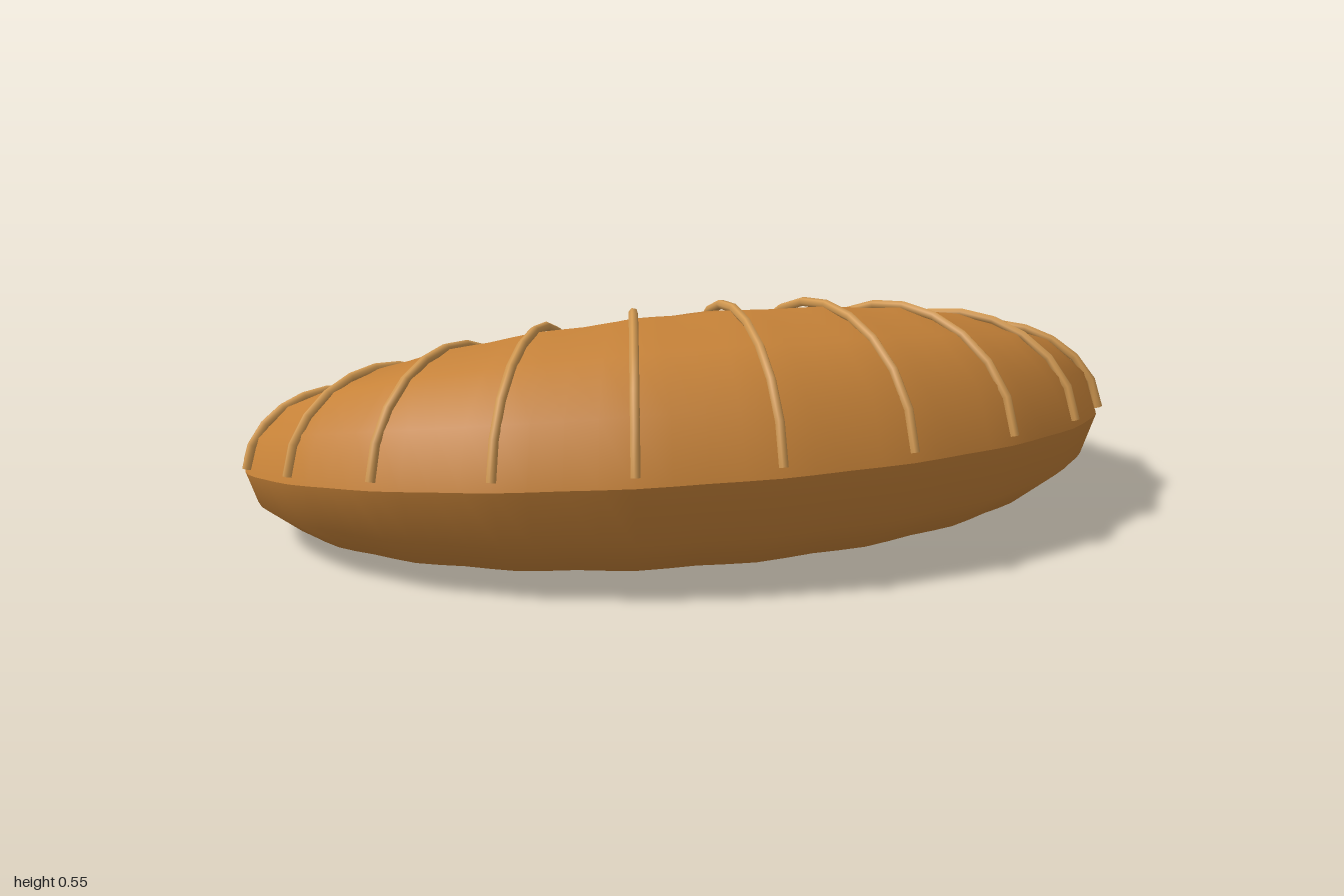
import * as THREE from 'three';

const ARC = THREE.MathUtils.degToRad(100); // half of the bend
const RIB_STEPS = 7;

// Point on the body at t (-1 tip .. 0 middle .. 1 tip) and angle a round the section (0 = outer side)
function surfacePoint(t, a, lift = 0, ripple = 0) {
  const th = t * ARC;
  const c = Math.max(0, Math.cos(t * Math.PI / 2));
  const w = (0.03 + 0.295 * Math.pow(c, 0.75)) * (1 + ripple * (Math.cos(2 * Math.PI * RIB_STEPS * t) - 1));
  const out = (w + lift) * Math.cos(a);
  const up = (w * 0.82 + lift) * Math.sin(a);
  return new THREE.Vector3(
    Math.sin(th) * (0.85 + out),
    0.12 + 0.15 * Math.pow(c, 1.1) + up,
    -0.365 + Math.cos(th) * (0.52 + out)
  );
}

// Twelve-sided sections swept along the bend, with an open seam on the outer side
function bodyGeometry(segments = 56, sides = 12) {
  const pos = [], index = [], row = sides + 1;
  for (let i = 0; i <= segments; i++) {
    for (let j = 0; j <= sides; j++) {
      const p = surfacePoint(i / segments * 2 - 1, j / sides * Math.PI * 2, 0, 0.008);
      pos.push(p.x, p.y, p.z);
    }
  }
  for (let i = 0; i < segments; i++) {
    for (let j = 0; j < sides; j++) {
      const a = i * row + j, b = a + row;
      index.push(a, b, a + 1, b, b + 1, a + 1);
    }
  }
  const g = new THREE.BufferGeometry();
  g.setAttribute('position', new THREE.Float32BufferAttribute(pos, 3));
  g.setIndex(index);
  g.computeVertexNormals();
  return g;
}

export function createModel() {
  const group = new THREE.Group();
  const crust = new THREE.MeshStandardMaterial({ color: 0xc68238 });
  const ridge = new THREE.MeshStandardMaterial({ color: 0xd39a52 });
  const add = (name, geometry, material) => {
    const mesh = new THREE.Mesh(geometry, material);
    mesh.name = name;
    group.add(mesh);
    return mesh;
  };

  add('body', bodyGeometry(), crust);

  // Raised ridges over the upper half, from side to side
  for (let k = 1 - RIB_STEPS; k < RIB_STEPS; k++) {
    const points = [];
    for (let j = 0; j <= 10; j++) {
      const a = THREE.MathUtils.degToRad(5 + 17 * j);
      points.push(surfacePoint(k / RIB_STEPS, a, 0.004));
    }
    const curve = new THREE.CatmullRomCurve3(points);
    add('ridge', new THREE.TubeGeometry(curve, 10, 0.01, 6), ridge);
    // Close the two ends of the ridge
    for (const u of [0, 1]) {
      const cap = add('ridgeEnd', new THREE.CircleGeometry(0.01, 6), ridge);
      const out = curve.getTangentAt(u).multiplyScalar(u ? 1 : -1);
      cap.position.copy(curve.getPointAt(u));
      cap.quaternion.setFromUnitVectors(new THREE.Vector3(0, 0, 1), out);
    }
  }

  // Rounded tips
  for (const side of [-1, 1]) {
    const tip = add(side > 0 ? 'leftTip' : 'rightTip', new THREE.SphereGeometry(0.037, 12, 8), crust);
    tip.position.copy(surfacePoint(side, Math.PI / 2)).setY(0.12);
  }
  return group;
}
